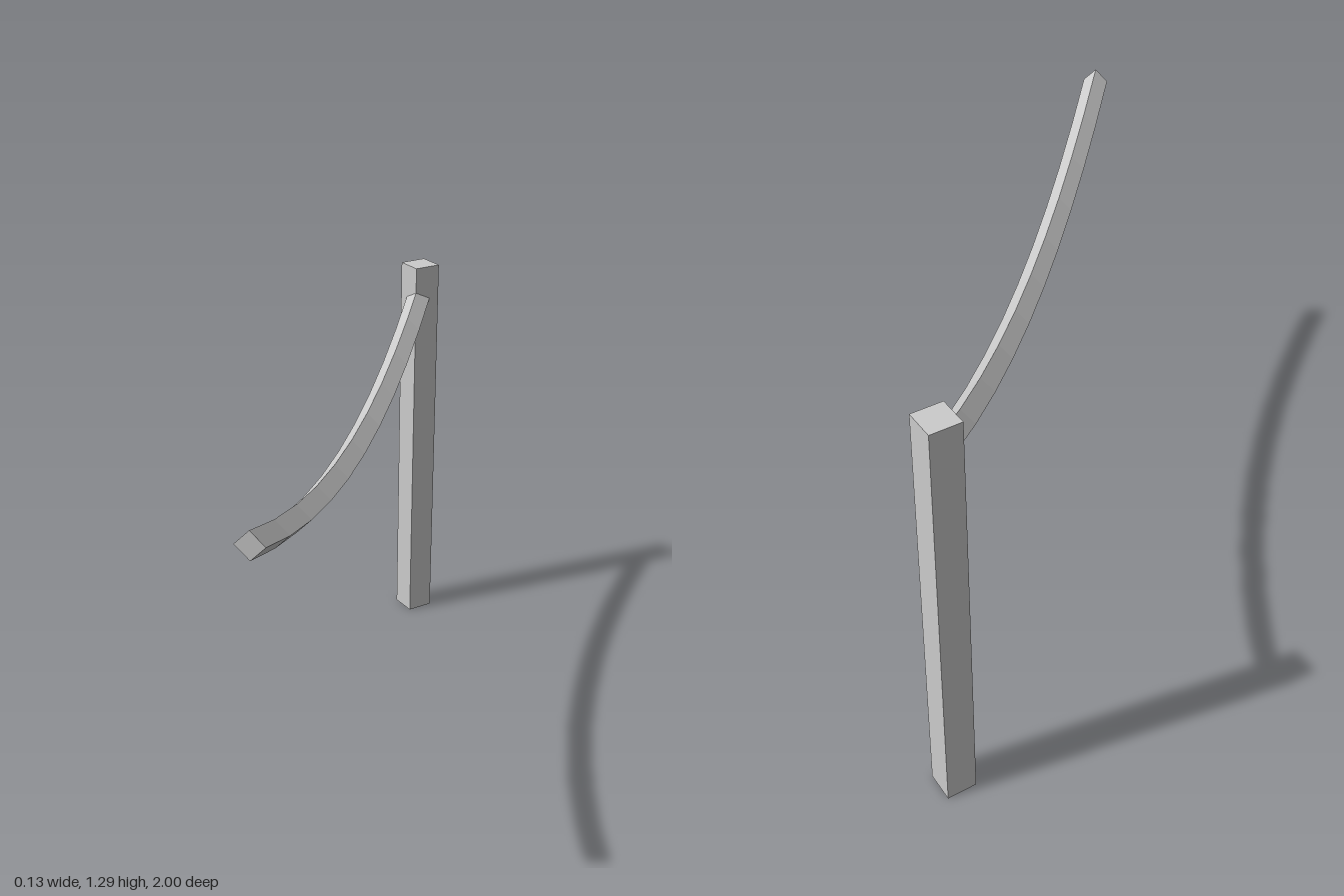
import * as THREE from 'three';

const POST_H = 1.29, POST_R = 0.063, POST_Z = -0.937;
const RAIL_R = 0.0385, RAIL_LOW = 1.0115, RAIL_SAG = 0.178;

export function createModel() {
  const group = new THREE.Group();
  const material = new THREE.MeshStandardMaterial({ color: 0xcccccc, flatShading: true });

  const add = (name, geometry) => {
    const mesh = new THREE.Mesh(geometry, material);
    mesh.name = name;
    group.add(mesh);
  };

  // Square post, turned so its corners face front, back and sides
  const post = new THREE.BoxGeometry(POST_R * Math.SQRT2, POST_H, POST_R * Math.SQRT2);
  post.rotateY(Math.PI / 4).translate(0, POST_H / 2, POST_Z);
  add('post', post);

  // Sagging rail: square bar on edge, bent along a parabola from the post axis to the front
  const half = (1 - POST_Z) / 2, mid = (1 + POST_Z) / 2;
  const side = RAIL_R * Math.SQRT2;
  const rail = new THREE.BoxGeometry(side, side, half * 2, 1, 1, 10).rotateZ(Math.PI / 4);
  const p = rail.attributes.position;
  for (let i = 0; i < p.count; i++) {
    const t = p.getZ(i) / half;
    p.setY(i, p.getY(i) + RAIL_LOW + RAIL_SAG * t * t);
  }
  rail.translate(0, 0, mid);
  rail.computeVertexNormals();
  add('saggingRail', rail);

  return group;
}
